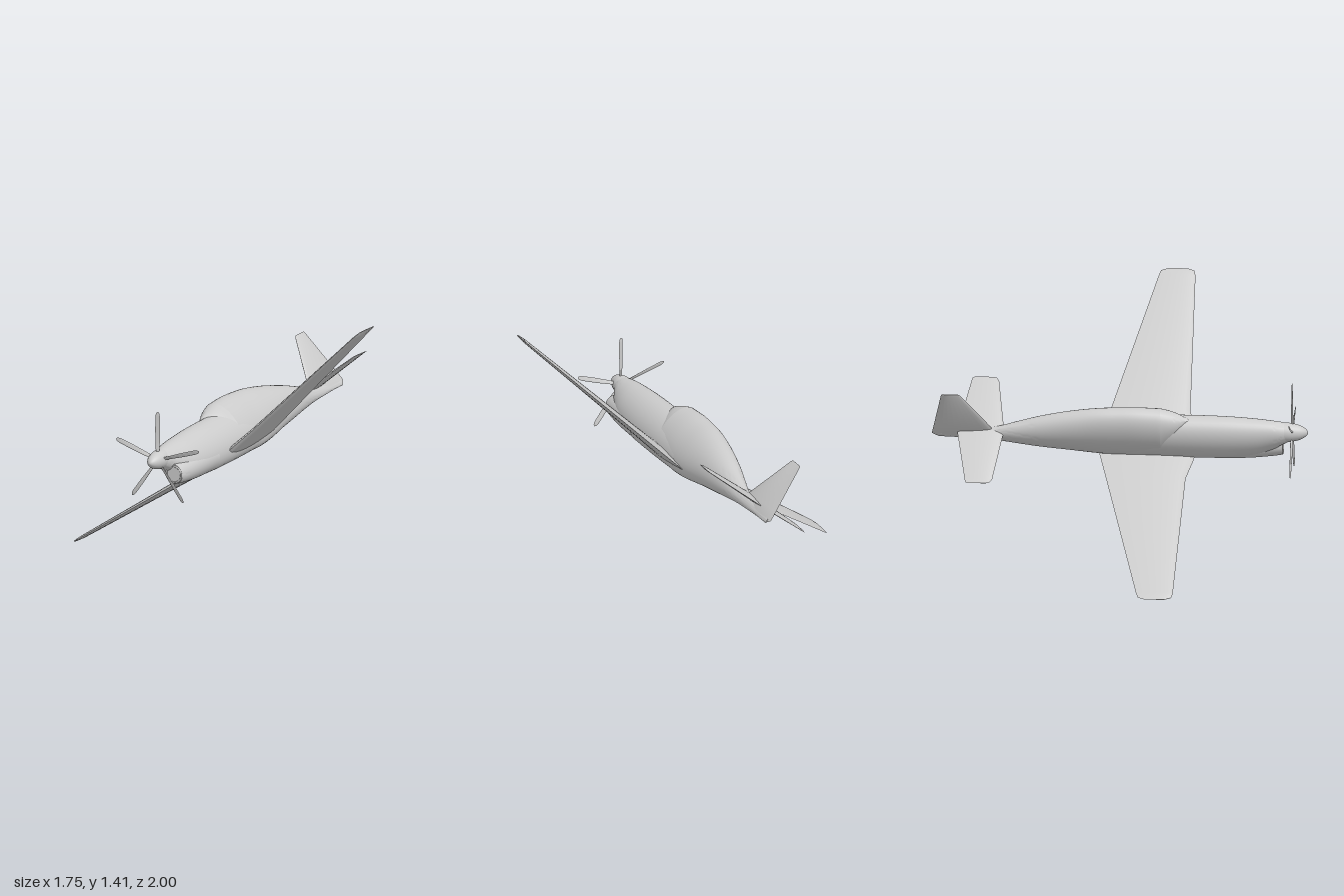
import * as THREE from 'three';
import { toCreasedNormals } from 'three/addons/utils/BufferGeometryUtils.js';

const material = new THREE.MeshStandardMaterial({ color: 0xcccccc, side: THREE.DoubleSide });
const ROLL = 0.678; // banked attitude

// Skin a row of closed rings (arrays of Vector3, equal length) and cap both ends
function loft(name, rings) {
  const n = rings[0].length, pos = [], idx = [];
  const centre = ring => ring.reduce((s, p) => s.add(p), new THREE.Vector3()).divideScalar(n);
  const all = [...rings.flat(), centre(rings[0]), centre(rings.at(-1))];
  all.forEach(p => pos.push(p.x, p.y, p.z));
  const last = (rings.length - 1) * n, c0 = rings.length * n;
  for (let j = 0; j < n; j++) {
    const k = (j + 1) % n;
    for (let i = 0; i < last; i += n) idx.push(i + j, i + k, i + n + j, i + k, i + n + k, i + n + j);
    idx.push(c0, k, j, c0 + 1, last + j, last + k);
  }
  // Turn the faces outward if the enclosed volume comes out negative
  let volume = 0;
  const mid = centre(all.slice(0, n)), v = i => all[i].clone().sub(mid);
  for (let i = 0; i < idx.length; i += 3) volume += v(idx[i]).dot(v(idx[i + 1]).cross(v(idx[i + 2])));
  if (volume < 0) idx.reverse();
  const geo = new THREE.BufferGeometry();
  geo.setAttribute('position', new THREE.Float32BufferAttribute(pos, 3));
  geo.setIndex(idx);
  const mesh = new THREE.Mesh(toCreasedNormals(geo, 0.7), material);
  mesh.name = name;
  return mesh;
}

// Body of elliptical sections [z, half width, top, bottom], smoothed along z
function body(name, stations, steps = 6) {
  const curve = f => new THREE.CatmullRomCurve3(stations.map(f), false, 'catmullrom', 0.5);
  const zs = curve(s => new THREE.Vector3(s[0], 0, 0));
  const sizes = curve(s => new THREE.Vector3(s[1], s[2], s[3]));
  const rings = [], count = (stations.length - 1) * steps;
  for (let i = 0; i <= count; i++) {
    const z = zs.getPoint(i / count).x, { x: a, y: top, z: bottom } = sizes.getPoint(i / count);
    rings.push(Array.from({ length: 40 }, (_, k) => {
      const t = k / 40 * Math.PI * 2;
      return new THREE.Vector3(a * Math.cos(t), (top + bottom) / 2 + (top - bottom) / 2 * Math.sin(t), z);
    }));
  }
  return loft(name, rings);
}

// Lifting surface of airfoil sections [span, leading z, trailing z, thickness]
function foil(name, stations, place) {
  const N = 12;
  return loft(name, stations.map(([s, lead, trail, thick]) =>
    Array.from({ length: 2 * N }, (_, k) => {
      const x = (1 + Math.cos(k / N * Math.PI)) / 2;
      const h = 1.3 * Math.sqrt(x) * (1 - x) * thick * (k < N ? 1 : -1);
      return place(s, h, lead + (trail - lead) * x);
    })));
}

const mirrored = half => [...half.slice(1).reverse().map(([s, ...rest]) => [-s, ...rest]), ...half];

function propeller() {
  const prop = new THREE.Group();
  prop.name = 'propeller';
  // Spinner
  const profile = [[0.052, 0.875], [0.051, 0.9], [0.047, 0.925], [0.039, 0.955], [0.026, 0.98], [0.012, 0.995], [0, 1]];
  const curve = new THREE.SplineCurve(profile.map(p => new THREE.Vector2(...p)));
  const points = curve.getPoints(24).map(p => p.set(Math.max(p.x, 0), p.y));
  const spinner = new THREE.Mesh(new THREE.LatheGeometry(points, 40), material);
  spinner.rotation.x = Math.PI / 2;
  spinner.name = 'spinner';
  prop.add(spinner);
  // Five blades, twisted toward the root: [radius, half width, half thickness, pitch]
  const sections = [[0.03, 0.009, 0.006, 0.8], [0.08, 0.011, 0.004, 0.55], [0.16, 0.013, 0.003, 0.35],
    [0.24, 0.0125, 0.002, 0.25], [0.258, 0.009, 0.0015, 0.22], [0.265, 0.003, 0.001, 0.2]];
  for (let i = 0; i < 5; i++) {
    const blade = loft('propellerBlade', sections.map(([r, w, t, pitch]) =>
      Array.from({ length: 12 }, (_, k) => {
        const a = k / 12 * Math.PI * 2;
        return new THREE.Vector3(w * Math.cos(a), r, t * Math.sin(a)).applyAxisAngle(new THREE.Vector3(0, 1, 0), pitch);
      })));
    blade.position.z = 0.915;
    blade.rotation.z = i * Math.PI * 2 / 5;
    prop.add(blade);
  }
  prop.rotation.z = -ROLL;
  return prop;
}

export function createModel() {
  const plane = new THREE.Group();
  plane.name = 'airplane';

  // Nose and lower fuselage
  plane.add(body('noseFuselage', [
    [0.9, 0.047, 0.046, -0.05], [0.86, 0.058, 0.055, -0.075], [0.8, 0.07, 0.065, -0.12], [0.7, 0.085, 0.075, -0.162],
    [0.55, 0.094, 0.085, -0.178], [0.37, 0.096, 0.09, -0.18], [0.2, 0.093, 0.09, -0.178], [0, 0.085, 0.08, -0.172]]));
  // Rear fuselage with the canopy faired into its back
  plane.add(body('rearFuselage', [
    [0.22, 0.094, 0.147, -0.17], [0.1, 0.094, 0.154, -0.174], [0, 0.092, 0.152, -0.174], [-0.12, 0.09, 0.143, -0.162],
    [-0.27, 0.084, 0.115, -0.138], [-0.42, 0.071, 0.075, -0.118], [-0.55, 0.051, 0.032, -0.1], [-0.66, 0.03, -0.002, -0.088],
    [-0.8, 0.014, -0.02, -0.08], [-0.97, 0.004, -0.045, -0.073]]));
  // Windshield running forward to a point on the nose
  plane.add(body('windshield', [
    [0.375, 0.003, 0.088, 0.07], [0.32, 0.05, 0.112, -0.02], [0.27, 0.076, 0.132, -0.09], [0.22, 0.094, 0.147, -0.17]]));

  // Chin intake: fairing, raised lip and recessed mouth
  plane.add(body('chinIntake', [
    [0.86, 0.051, -0.05, -0.16], [0.8, 0.06, -0.04, -0.168], [0.68, 0.073, -0.03, -0.176], [0.5, 0.08, -0.03, -0.178]]));
  const lip = new THREE.Mesh(new THREE.TorusGeometry(0.045, 0.005, 10, 40), material);
  lip.position.set(0, -0.107, 0.86);
  lip.name = 'intakeLip';
  plane.add(lip);

  // Wing with dihedral and swept root extensions
  plane.add(foil('wing', mirrored([
    [0, 0.405, -0.125, 0.05], [0.1, 0.39, -0.1, 0.046], [0.23, 0.357, -0.067, 0.04], [1.08, 0.34, 0.145, 0.018],
    [1.112, 0.333, 0.156, 0.012], [1.125, 0.3, 0.19, 0.003]]),
  (s, h, z) => new THREE.Vector3(s, -0.14 + 0.098 * Math.abs(s) + h, z)));

  // Tailplane
  plane.add(foil('tailplane', mirrored([
    [0, -0.615, -0.865, 0.028], [0.335, -0.66, -0.806, 0.014], [0.355, -0.672, -0.802, 0.008], [0.361, -0.69, -0.79, 0.002]]),
  (s, h, z) => new THREE.Vector3(s, -0.02 + h, z)));

  // Fin and rudder
  plane.add(foil('tailFin', [
    [-0.076, -0.7, -0.965, 0.012], [-0.05, -0.68, -1, 0.026], [0.0, -0.68, -0.99, 0.03], [0.265, -0.835, -0.938, 0.012],
    [0.274, -0.845, -0.935, 0.004]],
  (s, h, z) => new THREE.Vector3(h, s, z)));

  plane.add(propeller());
  plane.rotation.z = ROLL;
  plane.position.set(-0.02, 0.735, 0);

  const model = new THREE.Group();
  model.name = 'bankedAirplane';
  model.add(plane);
  return model;
}
